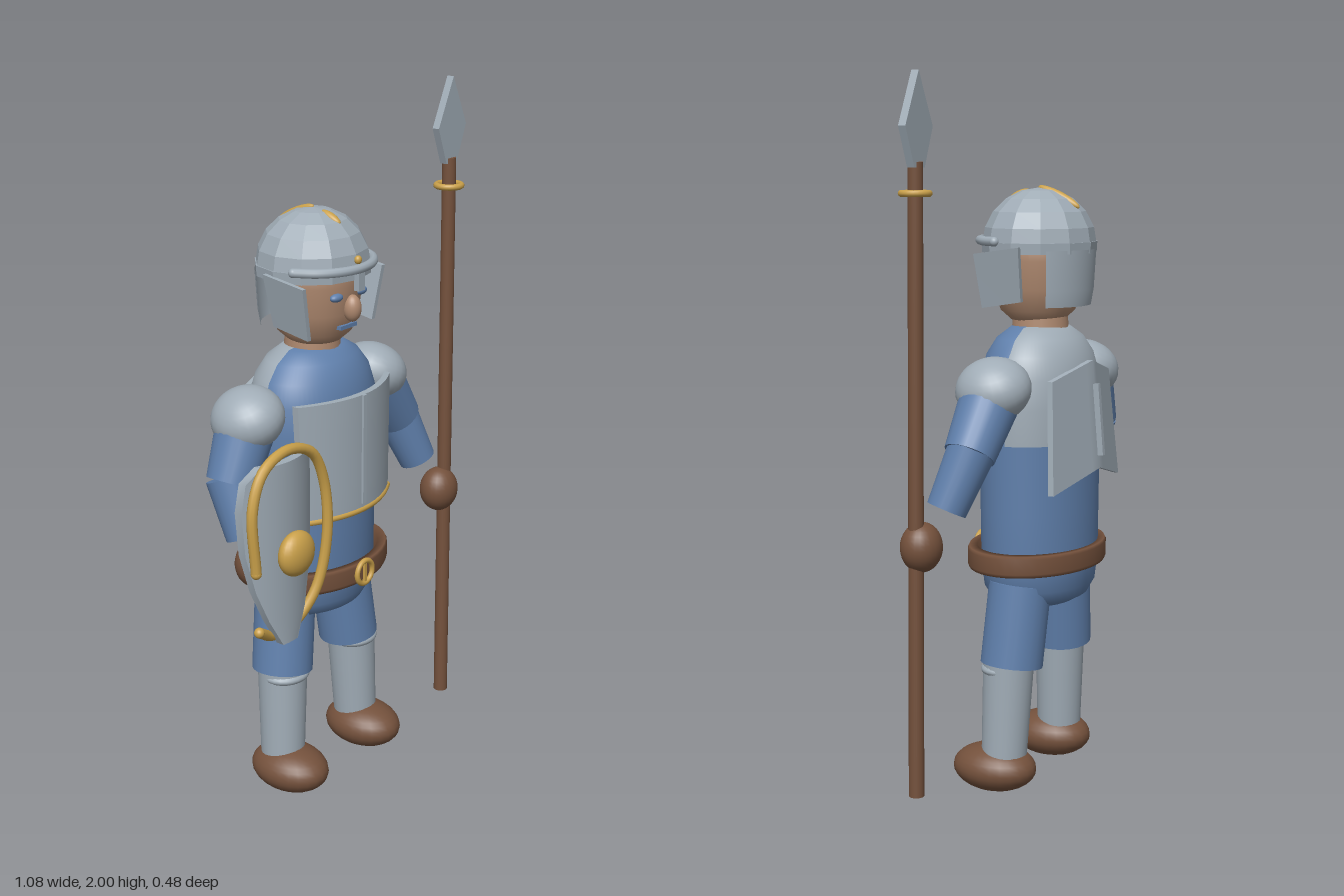
import * as THREE from 'three';

const mat = (name, color) => {
  const m = new THREE.MeshStandardMaterial({ color });
  m.name = name;
  return m;
};

export function createModel() {
  const blue = mat('blue cloth', 0x6080ac);
  const steel = mat('steel', 0xa0acb6);
  const brown = mat('brown leather', 0x74513c);
  const gold = mat('gold', 0xc9a04a);
  const skin = mat('skin', 0xb08a70);
  const facet = mat('helmet steel', 0xa0acb6);
  facet.flatShading = true;
  const cloak = mat('steel shell', 0xa0acb6);
  cloak.side = THREE.DoubleSide;

  const model = new THREE.Group();
  model.name = 'guard';
  const CX = -0.023, CZ = -0.043; // body axis
  const V = (x, y, z) => new THREE.Vector3(x, y, z);

  const add = (name, geo, material, x = 0, y = 0, z = 0, parent = model) => {
    const m = new THREE.Mesh(geo, material);
    m.name = name;
    m.position.set(x, y, z);
    parent.add(m);
    return m;
  };
  const ball = (name, material, x, y, z, rx, ry, rz) => {
    const m = add(name, new THREE.SphereGeometry(1, 24, 16), material, x, y, z);
    m.scale.set(rx, ry, rz);
    return m;
  };
  const limb = (name, material, a, b, ra, rb) => {
    const m = add(name, new THREE.CylinderGeometry(rb, ra, a.distanceTo(b), 24), material);
    m.position.copy(a).lerp(b, 0.5);
    m.quaternion.setFromUnitVectors(V(0, 1, 0), b.clone().sub(a).normalize());
    return m;
  };
  const lathe = (pts, squash, start = 0, length = Math.PI * 2) =>
    new THREE.LatheGeometry(pts.map(p => new THREE.Vector2(...p)), 40, start, length).scale(1, 1, squash);
  const tube = (name, material, pts, r) => {
    const curve = new THREE.CatmullRomCurve3(pts);
    add(name, new THREE.TubeGeometry(curve, 64, r, 10), material);
    for (const p of [pts[0], pts[pts.length - 1]]) ball(name + 'End', material, p.x, p.y, p.z, r, r, r);
  };
  // thin box whose vertices follow a rule: (u, t, side) in -0.5..0.5 to a point
  const plate = (name, material, rule, nu = 12, nt = 4) => {
    const g = new THREE.BoxGeometry(1, 1, 1, nu, nt, 1), p = g.attributes.position;
    for (let i = 0; i < p.count; i++) p.setXYZ(i, ...rule(p.getX(i), p.getY(i), p.getZ(i)));
    g.computeVertexNormals();
    return add(name, g, material);
  };

  // torso: blue front and lower back, steel upper back
  const low = [[0, 0.53], [0.13, 0.533], [0.17, 0.55], [0.195, 0.585], [0.205, 0.65], [0.207, 0.8], [0.21, 1.0]];
  const high = [[0.21, 1.0], [0.213, 1.1], [0.205, 1.18], [0.185, 1.24], [0.15, 1.285], [0.1, 1.315], [0, 1.325]];
  const half = Math.PI / 2, squash = 0.75;
  add('lowerTorso', lathe(low, squash), blue, CX, 0, CZ);
  add('upperChest', lathe(high, squash, -half, Math.PI), blue, CX, 0, CZ);
  add('upperBack', lathe(high, squash, half, Math.PI), steel, CX, 0, CZ);

  // breastplate with centre ridge and gold lower edge
  const chestZ = x => 0.13 - 1.6 * x * x;
  plate('breastplate', steel, (u, t, s) => {
    const x = u * (0.39 + 0.03 * t);
    return [CX + x, 1.03 + 0.34 * t, chestZ(x) + 0.02 * s];
  });
  add('chestRidge', new THREE.BoxGeometry(0.014, 0.32, 0.02), steel, CX, 1.04, 0.136);
  tube('breastplateEdge', gold, [-0.195, -0.13, -0.06, 0, 0.06, 0.13, 0.195].map(x =>
    V(CX + x, 0.86, chestZ(x) + 0.006)), 0.009);

  // back plate with ridge
  plate('backPlate', steel, (u, t, s) => {
    const x = u * (0.38 - 0.06 * t);
    return [CX + x, 1.075 + 0.3 * t - 0.25 * Math.abs(x), -0.212 + 0.025 * t + 0.2 * Math.abs(x) + 0.016 * s];
  });
  add('backRidge', new THREE.BoxGeometry(0.014, 0.2, 0.024), steel, CX, 1.06, -0.224).rotation.x = 0.08;

  // belt and buckle
  const beltPts = [[0.215, 0.64], [0.243, 0.64], [0.248, 0.65], [0.248, 0.692], [0.243, 0.7], [0.215, 0.7], [0.215, 0.64]];
  add('belt', lathe(beltPts, 0.73), brown, CX, 0, -0.035);
  add('buckle', new THREE.TorusGeometry(0.034, 0.008, 10, 28), gold, CX, 0.67, 0.148);
  add('bucklePin', new THREE.BoxGeometry(0.01, 0.06, 0.01), gold, CX, 0.67, 0.148);

  // legs
  for (const s of [-1, 1]) {
    const x = d => CX + s * d;
    limb('thigh', blue, V(x(0.152), 0.37, -0.033), V(x(0.122), 0.6, -0.045), 0.088, 0.088);
    limb('shin', steel, V(x(0.17), 0.1, -0.018), V(x(0.158), 0.38, -0.027), 0.064, 0.072);
    ball('kneeGuard', steel, x(0.158), 0.36, -0.015, 0.074, 0.026, 0.066);
    ball('shoe', brown, x(0.172), 0.069, 0.011, 0.095, 0.067, 0.124);
    // shoulders
    const pad = ball('shoulderGuard', steel, x(0.272), 1.165, -0.044, 0.1, 0.084, 0.105);
    pad.rotation.z = -s * 0.45;
  }

  // arms
  const arm = (shoulder, elbow, wrist, hand) => {
    limb('upperArm', blue, shoulder, elbow, 0.085, 0.07);
    limb('forearm', blue, elbow.clone().lerp(wrist, -0.12), wrist, 0.066, 0.055);
    ball('hand', brown, hand.x, hand.y, hand.z, 0.061, 0.068, 0.056);
  };
  arm(V(0.25, 1.16, -0.044), V(0.355, 1.0, -0.03), V(0.405, 0.858, 0.012), V(0.447, 0.76, 0.065));
  arm(V(-0.296, 1.16, -0.044), V(-0.37, 1.0, -0.04), V(-0.375, 0.86, 0.015), V(-0.37, 0.79, 0.045));

  // neck, head and face
  add('neck', new THREE.CylinderGeometry(0.075, 0.08, 0.08, 24), skin, CX, 1.34, CZ);
  const headPts = [[0, 1.325], [0.075, 1.333], [0.105, 1.36], [0.123, 1.42], [0.134, 1.5], [0.134, 1.56], [0.1, 1.62], [0, 1.65]];
  add('head', lathe(headPts, 1), skin, CX, 0, -0.035);
  ball('nose', skin, CX, 1.438, 0.098, 0.025, 0.038, 0.026);
  for (const s of [-1, 1]) ball('eye', blue, CX + s * 0.052, 1.475, 0.085, 0.023, 0.012, 0.014);
  add('mouth', new THREE.BoxGeometry(0.068, 0.011, 0.02), blue, CX, 1.385, 0.077);

  // helmet
  const dome = add('helmetDome', new THREE.SphereGeometry(1, 12, 5, 0, Math.PI * 2, 0, half), facet, CX, 1.54, -0.04);
  dome.scale.set(0.166, 0.158, 0.158);
  const rimPts = [[0.15, 1.52], [0.166, 1.52], [0.168, 1.55], [0.15, 1.55], [0.15, 1.52]];
  add('helmetBand', new THREE.LatheGeometry(rimPts.map(p => new THREE.Vector2(...p)), 12).scale(1, 1, 0.95), facet, CX, 0, -0.04);
  tube('browGuard', steel, [-1.2, -0.8, -0.4, 0, 0.4, 0.8, 1.2].map(a =>
    V(CX + 0.165 * Math.sin(a), 1.553, -0.042 + 0.168 * Math.cos(a))), 0.013);
  add('noseGuard', new THREE.BoxGeometry(0.026, 0.06, 0.018), steel, CX, 1.522, 0.122);
  for (const s of [-1, 1]) {
    plate('cheekGuard', steel, (u, t, w) =>
      [CX + s * (0.155 + 0.032 * t) + 0.014 * w, 1.455 + 0.15 * t - 0.02 * u, 0.002 + u * (0.13 + 0.018 * t)], 1, 1)
      .material = cloak;
  }
  add('neckGuard', lathe([[0.15, 1.375], [0.158, 1.42], [0.165, 1.53]], 0.95, Math.PI - 0.95, 1.9), cloak, CX, 0, -0.04);
  ball('rearCrest', gold, CX, 1.672, -0.1, 0.014, 0.016, 0.07).rotation.x = -0.42;
  ball('frontCrest', gold, CX, 1.677, 0.023, 0.013, 0.012, 0.035).rotation.x = 0.4;
  ball('browStud', gold, CX, 1.575, 0.117, 0.011, 0.012, 0.01);

  // spear
  limb('spearShaft', brown, V(0.465, 0.073, 0.077), V(0.467, 1.77, 0.06), 0.021, 0.02);
  add('spearRing', new THREE.TorusGeometry(0.036, 0.009, 10, 28).rotateX(half), gold, 0.467, 1.69, 0.061);
  const blade = new THREE.Shape([[-0.025, 1.755], [0.025, 1.755], [0.066, 1.86], [0, 2], [-0.066, 1.86]]
    .map(p => new THREE.Vector2(...p)));
  add('spearHead', new THREE.ExtrudeGeometry(blade, { depth: 0.022, bevelEnabled: false }), steel, 0.467, 0, 0.047);

  // shield: rows of [height, half width], curved backwards at the sides
  const SX = -0.383;
  const rows = [[0.6, 0.03], [0.68, 0.073], [0.77, 0.107], [0.88, 0.131], [1.0, 0.138], [1.08, 0.128], [1.12, 0.09]];
  plate('shield', steel, (u, t, s) => {
    const [y, w] = rows[Math.round((t + 0.5) * 6)], x = 2 * u * w;
    return [SX + x, y, 0.168 - 2.5 * x * x + 0.024 * s];
  }, 10, 6);
  tube('shieldRim', gold, [
    [-0.521, 0.847, 0.18], [-0.526, 1.026, 0.175], [-0.48, 1.115, 0.172], [-0.383, 1.148, 0.17], [-0.286, 1.115, 0.172],
    [-0.24, 1.026, 0.175], [-0.231, 0.868, 0.18], [-0.267, 0.709, 0.168], [-0.345, 0.62, 0.145], [-0.415, 0.618, 0.142],
    [-0.484, 0.656, 0.155]].map(p => V(...p)), 0.0145);
  ball('shieldBoss', gold, SX, 0.865, 0.2, 0.063, 0.063, 0.036);
  add('shieldGrip', new THREE.BoxGeometry(0.035, 0.15, 0.025), brown, SX, 0.82, 0.1);
  for (const y of [0.755, 0.885]) add('gripMount', new THREE.BoxGeometry(0.035, 0.02, 0.06), brown, SX, y, 0.13);

  return model;
}
